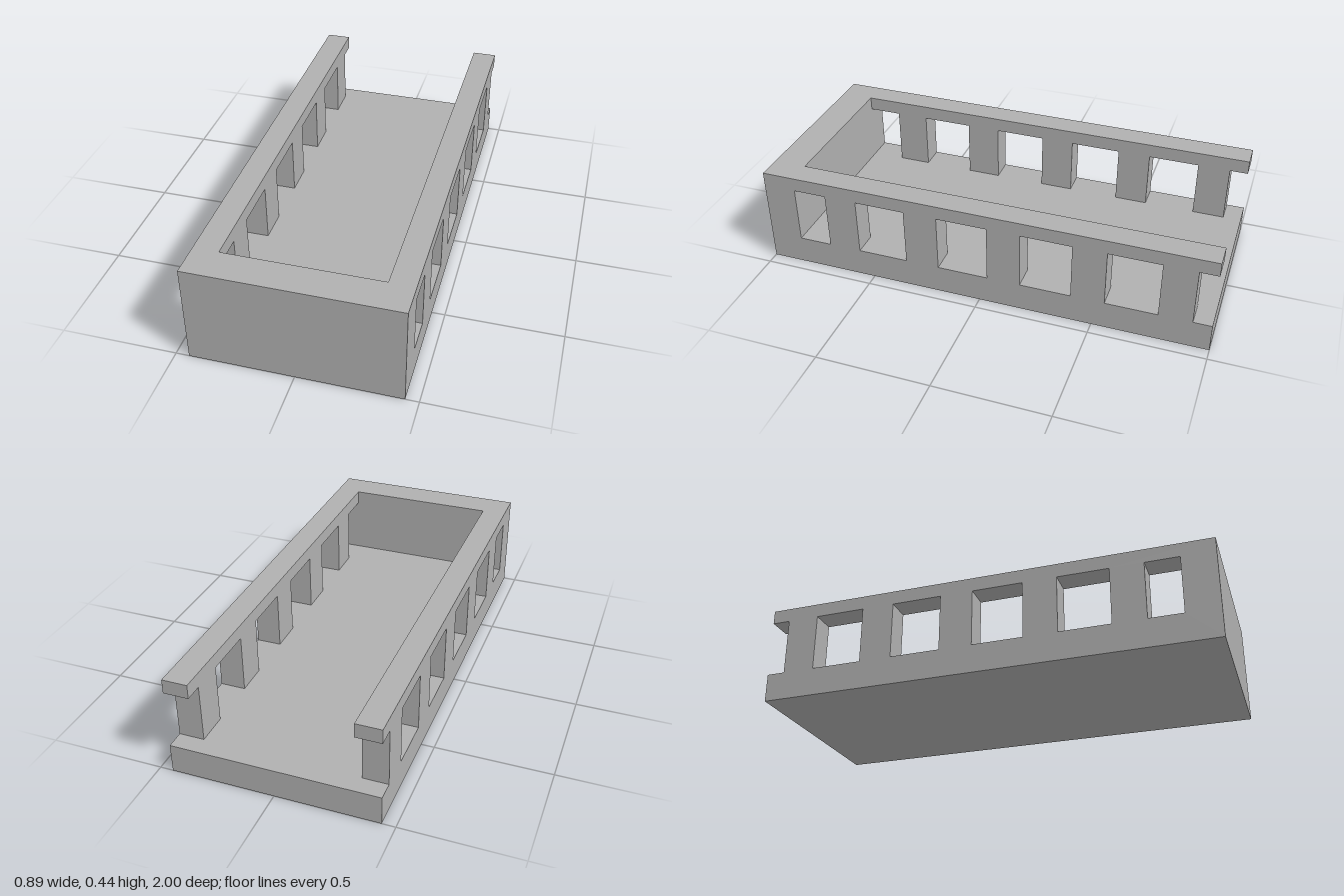
import * as THREE from 'three';

export function createModel() {
  const group = new THREE.Group();
  const grey = new THREE.MeshStandardMaterial({ color: 0xb0b0b0 });

  const halfWidth = 0.444, inner = 0.335, height = 0.444;
  const floorTop = 0.127, railBottom = 0.382, wallBack = 0.854;

  function addBox(name, w, h, d, x, y, z) {
    const mesh = new THREE.Mesh(new THREE.BoxGeometry(w, h, d), grey);
    mesh.name = name;
    mesh.position.set(x, y, z);
    group.add(mesh);
  }

  // Floor slab and solid front wall, fitted between the side walls
  addBox('floor', inner * 2, floorTop, 1 + wallBack, 0, floorTop / 2, (wallBack - 1) / 2);
  addBox('frontWall', inner * 2, height, 1 - wallBack, 0, height / 2, (1 + wallBack) / 2);

  // Side profile in (z, y), with an open notch at the back end
  const profile = new THREE.Shape([
    [-1, 0], [1, 0], [1, height], [-1, height],
    [-1, railBottom], [-0.92, railBottom], [-0.92, floorTop], [-1, floorTop],
  ].map(([z, y]) => new THREE.Vector2(z, y)));

  // Window openings between the pillars
  const openings = [[0.707, wallBack], [0.338, 0.562], [-0.036, 0.188], [-0.406, -0.183], [-0.777, -0.552]];
  for (const [z0, z1] of openings) {
    profile.holes.push(new THREE.Path([
      new THREE.Vector2(z0, floorTop), new THREE.Vector2(z0, railBottom),
      new THREE.Vector2(z1, railBottom), new THREE.Vector2(z1, floorTop),
    ]));
  }

  // Both side walls share one extrusion, turned to run along z
  const thickness = halfWidth - inner;
  const sideGeometry = new THREE.ExtrudeGeometry(profile, { depth: thickness, bevelEnabled: false });
  sideGeometry.rotateY(-Math.PI / 2);
  for (const [name, x] of [['leftWall', halfWidth], ['rightWall', -inner]]) {
    const wall = new THREE.Mesh(sideGeometry, grey);
    wall.name = name;
    wall.position.x = x;
    group.add(wall);
  }

  return group;
}
